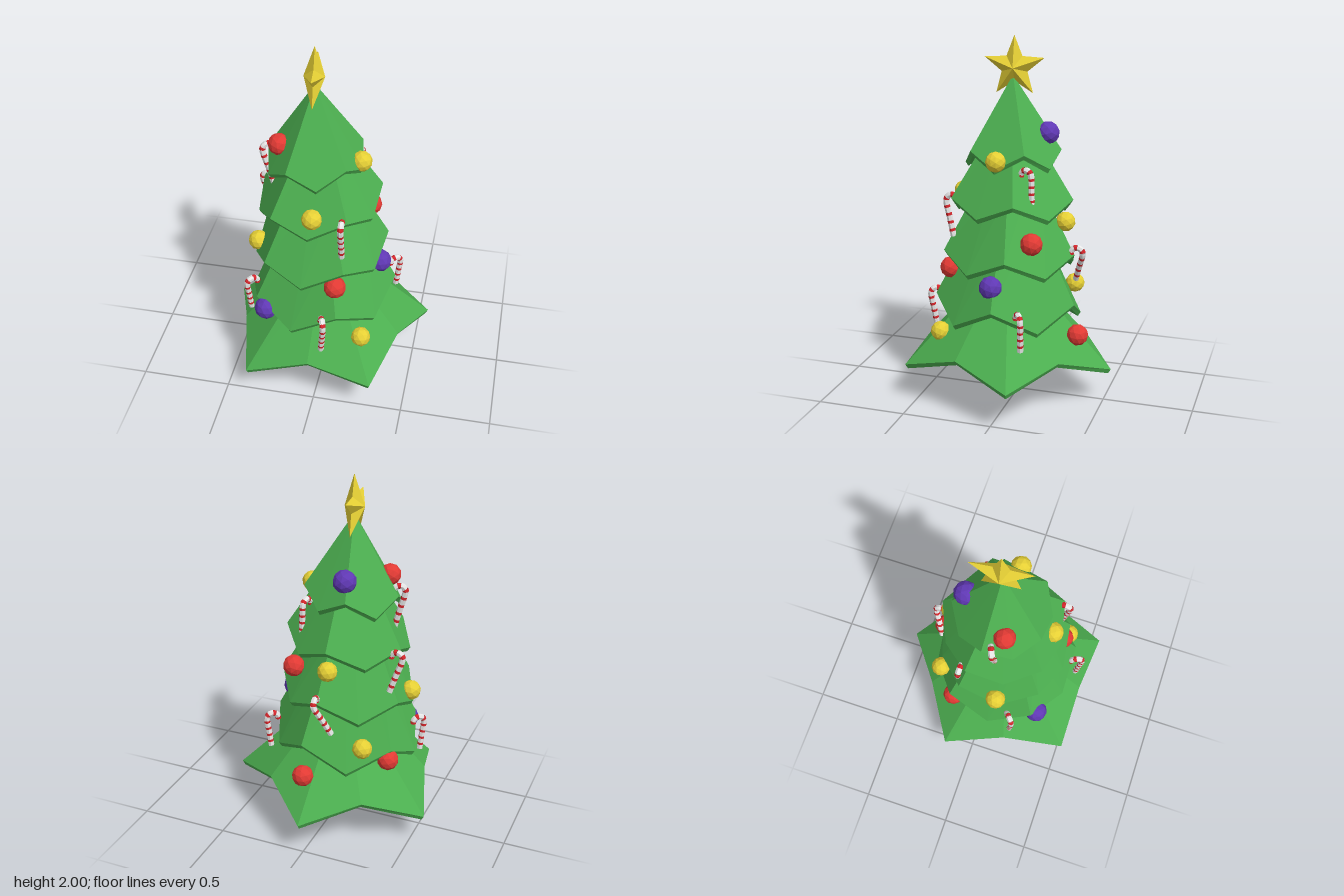
import * as THREE from 'three';

const mat = (name, color, side = THREE.FrontSide) => {
  const m = new THREE.MeshStandardMaterial({ color, side, flatShading: true });
  m.name = name;
  return m;
};

export function createModel() {
  const green = mat('needle green', 0x4caf50);
  const brown = mat('bark brown', 0x795548);
  const gold = mat('gold', 0xe6d035);
  const red = mat('ornament red', 0xe23a34);
  const purple = mat('ornament purple', 0x6038b4);
  const white = mat('candy white', 0xeeeeee, THREE.DoubleSide);
  const candyRed = mat('candy red', 0xd8262c, THREE.DoubleSide);

  const tree = new THREE.Group();
  tree.name = 'decoratedTree';
  const add = (name, geometry, material, parent = tree) => {
    const mesh = new THREE.Mesh(geometry, material);
    mesh.name = name;
    parent.add(mesh);
    return mesh;
  };

  // Flat-faced geometry from a list of triangles
  const facets = (tris) => {
    const g = new THREE.BufferGeometry().setFromPoints(tris.flat());
    g.computeVertexNormals();
    return g;
  };

  // Trunk
  add('trunk', new THREE.CylinderGeometry(0.075, 0.075, 0.6, 8), brown).position.set(-0.026, 0.3, 0.06);

  // Five-sided skirt of branches: zigzag rim of tips and notches, shallow hollow underneath
  const N = 5;
  function tier({ phase, x, z, topY, topTip, topNotch, tipR, tipY, notchR, notchY, underY }) {
    const ring = (fn) => Array.from({ length: 2 * N }, (_, i) => {
      const a = THREE.MathUtils.degToRad(phase) + (i * Math.PI) / N;
      const [r, y] = fn(i % 2 === 0);
      const dx = r * Math.cos(a);
      return new THREE.Vector3(x + dx, y + 0.06 * dx, z + r * Math.sin(a));
    });
    const rings = [
      ring((tip) => [tip ? topTip : topNotch, topY]),
      ring((tip) => (tip ? [tipR, tipY + 0.025] : [notchR, notchY + 0.01])),
      ring((tip) => (tip ? [tipR - 0.015, tipY] : [notchR - 0.015, notchY - 0.015])),
      ring(() => [0, underY]),
    ];
    const tris = [];
    for (let k = 0; k < rings.length - 1; k++) {
      for (let i = 0; i < 2 * N; i++) {
        const j = (i + 1) % (2 * N);
        const [p, q] = [rings[k], rings[k + 1]];
        tris.push([p[i], p[j], q[j]], [p[i], q[j], q[i]]);
      }
    }
    return facets(tris);
  }
  [
    { phase: 6, x: -0.07, z: 0.05, topY: 1.79, topTip: 0, topNotch: 0, tipR: 0.262, tipY: 1.28, notchR: 0.265, notchY: 1.38, underY: 1.47 },
    { phase: 90, x: -0.052, z: 0.05, topY: 1.47, topTip: 0.105, topNotch: 0.13, tipR: 0.328, tipY: 1.02, notchR: 0.347, notchY: 1.12, underY: 1.22 },
    { phase: 96, x: -0.045, z: 0.055, topY: 1.17, topTip: 0.154, topNotch: 0.19, tipR: 0.362, tipY: 0.71, notchR: 0.377, notchY: 0.82, underY: 0.92 },
    { phase: 105, x: -0.033, z: 0.057, topY: 0.9, topTip: 0.195, topNotch: 0.24, tipR: 0.402, tipY: 0.42, notchR: 0.413, notchY: 0.555, underY: 0.65 },
    { phase: 56, x: -0.01, z: 0.058, topY: 0.64, topTip: 0.165, topNotch: 0.155, tipR: 0.6, tipY: 0.165, notchR: 0.47, notchY: 0.28, underY: 0.385 },
  ].forEach((t, i) => add(`branchTier${i + 1}`, tier(t), green));

  // Faceted star on top, its broad faces toward the sides
  const rim = Array.from({ length: 10 }, (_, i) => {
    const a = (i * Math.PI) / 5;
    const r = i % 2 ? 0.074 : 0.171;
    return new THREE.Vector3(0, r * Math.cos(a), r * Math.sin(a));
  });
  const mid = [new THREE.Vector3(0.055, 0, 0), new THREE.Vector3(-0.055, 0, 0)];
  const star = add('topStar', facets(rim.flatMap((p, i) => {
    const q = rim[(i + 1) % 10];
    return [[mid[0], p, q], [mid[1], q, p]];
  })), gold);
  star.position.set(-0.075, 1.83, 0.043);
  star.rotation.set(0, 0.1, -0.02);

  // Round ornaments: x, y, z, radius
  const ball = (name, material, list) => list.forEach(([x, y, z, r]) => {
    const b = add(name, new THREE.IcosahedronGeometry(r, 1), material);
    b.position.set(x, y, z);
    b.rotation.set(x * 9, y * 7, z * 5);
  });
  ball('redOrnament', red, [
    [-0.25, 1.45, 0.12, 0.059], [0.095, 0.728, 0.36, 0.061], [0.205, 0.938, -0.137, 0.061],
    [0.06, 0.395, -0.36, 0.06], [-0.357, 0.482, -0.155, 0.06],
  ]);
  ball('goldOrnament', gold, [
    [0.18, 1.365, 0.068, 0.056], [-0.035, 1.14, 0.322, 0.057], [-0.387, 0.785, 0.115, 0.056],
    [0.243, 0.402, 0.372, 0.055], [-0.045, 1.005, -0.257, 0.055], [-0.25, 0.585, -0.265, 0.055],
  ]);
  ball('purpleOrnament', purple, [
    [-0.095, 1.48, -0.14, 0.064], [0.293, 0.705, 0.062, 0.064], [-0.3, 0.485, 0.332, 0.065],
  ]);

  // Striped canes: stem bottom, stem top, level direction of the hook
  function cane(bottom, top, dir) {
    const [b, t] = [new THREE.Vector3(...bottom), new THREE.Vector3(...top)];
    const d = new THREE.Vector3(dir[0], 0, dir[1]).normalize();
    const R = 0.033;
    const pts = [b, b.clone().lerp(t, 0.5), t];
    for (let k = 1; k <= 6; k++) {
      const a = (k / 6) * Math.PI * 1.05;
      pts.push(t.clone().addScaledVector(d, R * (1 - Math.cos(a))).add(new THREE.Vector3(0, R * Math.sin(a), 0)));
    }
    const path = new THREE.CatmullRomCurve3(pts);
    const group = new THREE.Group();
    group.name = 'candyCane';
    const count = 7;
    const stripe = (u0, u1, name, material) => {
      const part = [0, 1, 2, 3].map((k) => path.getPointAt(u0 + ((u1 - u0) * k) / 3));
      add(name, new THREE.TubeGeometry(new THREE.CatmullRomCurve3(part), 3, 0.017, 7), material, group);
    };
    for (let k = 0; k < count; k++) {
      stripe(k / count, (k + 0.66) / count, 'whiteStripe', white);
      stripe((k + 0.66) / count, (k + 1) / count, 'redStripe', candyRed);
    }
    tree.add(group);
  }
  cane([-0.295, 1.17, 0.08], [-0.35, 1.38, 0.085], [0.9, -0.4]);
  cane([-0.345, 0.88, -0.118], [-0.405, 1.07, -0.09], [1, 0.05]);
  cane([0.125, 0.92, 0.33], [0.125, 1.12, 0.37], [0, -1]);
  cane([-0.42, 0.365, 0.21], [-0.435, 0.54, 0.225], [0.75, -0.65]);
  cane([0.04, 0.365, 0.475], [0.057, 0.545, 0.5], [-0.35, -0.93]);
  cane([0.365, 0.39, -0.125], [0.385, 0.56, -0.13], [-0.8, 0.6]);
  cane([0.16, 1.13, -0.125], [0.155, 1.29, -0.12], [-0.3, 0.95]);
  cane([-0.088, 0.665, -0.31], [-0.01, 0.84, -0.365], [0.1, 1]);

  return tree;
}
